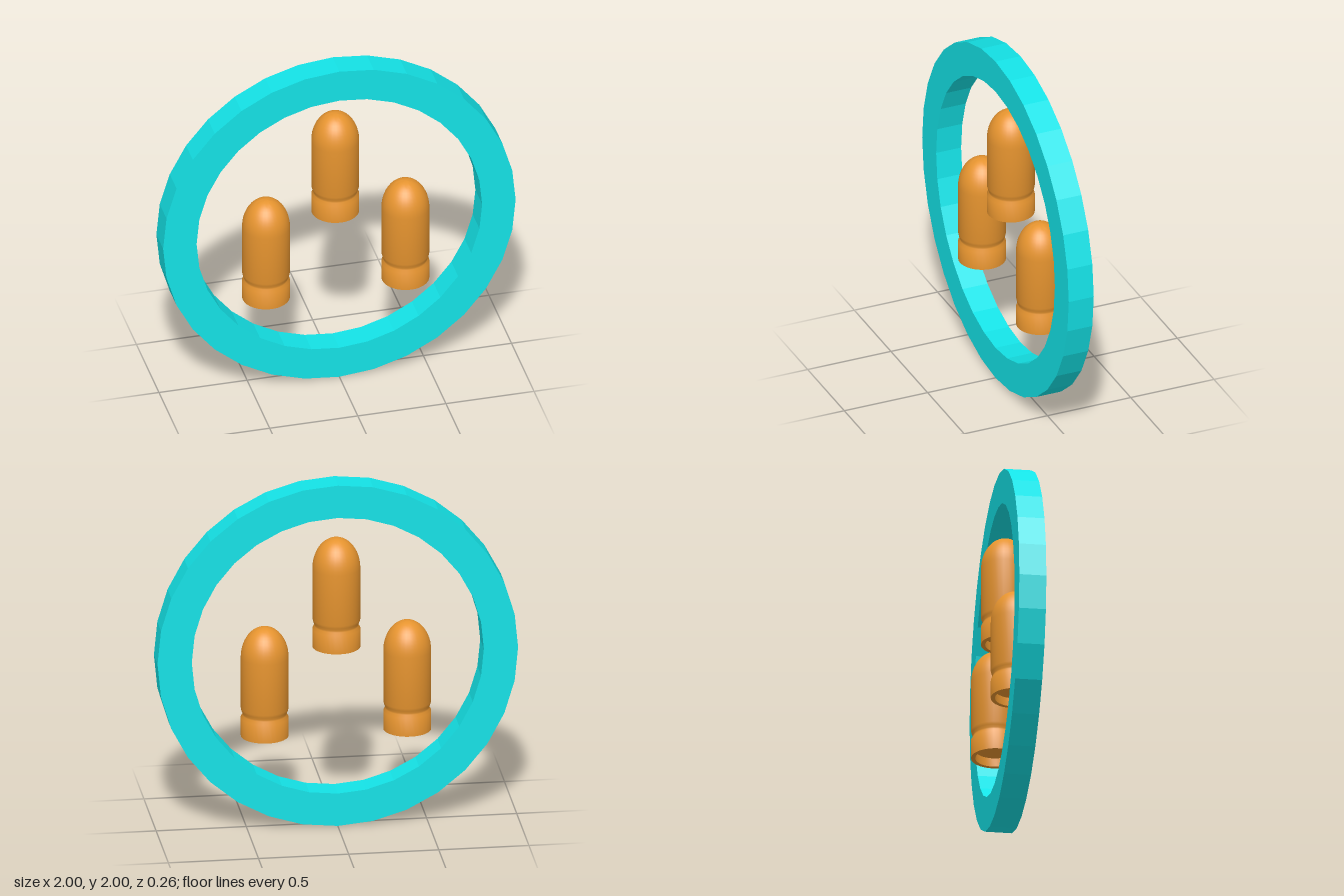
import * as THREE from 'three';
import { toCreasedNormals } from 'three/addons/utils/BufferGeometryUtils.js';

const SIDES = 32;

// Regular counter-clockwise polygon with a corner at the top
function polygon(target, radius) {
  const points = [];
  for (let i = 0; i < SIDES; i++) {
    const a = (i / SIDES) * Math.PI * 2;
    points.push(new THREE.Vector2(-Math.sin(a) * radius, Math.cos(a) * radius));
  }
  return target.setFromPoints(points).closePath();
}

// Flat-sided ring, standing upright
function createRing() {
  const shape = polygon(new THREE.Shape(), 1);
  shape.holes.push(polygon(new THREE.Path(), 0.81));
  const geometry = new THREE.ExtrudeGeometry(shape, { depth: 0.15, bevelEnabled: false });
  const ring = new THREE.Mesh(geometry, new THREE.MeshStandardMaterial({ color: 0x14e2e6 }));
  ring.position.set(0, 1, -0.058);
  ring.name = 'ring';
  return ring;
}

// Turned profile: recessed base, grooved collar, straight body, domed tip
function createCapsuleGeometry() {
  const r = 0.132, domeBase = 0.46, height = 0.636;
  const profile = [
    [0, 0.05], [0.109, 0.05], [0.109, 0], [r, 0], [r, 0.108],
    [0.122, 0.124], [0.122, 0.134], [0.128, 0.148], [r, 0.164],
  ].map(([x, y]) => new THREE.Vector2(x, y));
  const steps = 12;
  for (let i = 0; i <= steps; i++) {
    const a = (i / steps) * Math.PI / 2;
    const x = i === steps ? 0 : r * Math.cos(a);
    profile.push(new THREE.Vector2(x, domeBase + (height - domeBase) * Math.sin(a)));
  }
  return toCreasedNormals(new THREE.LatheGeometry(profile, 32), 0.7);
}

export function createModel() {
  const model = new THREE.Group();
  model.name = 'ringWithCapsules';
  model.add(createRing());

  // Three identical domed capsules in a triangle
  const geometry = createCapsuleGeometry();
  const material = new THREE.MeshStandardMaterial({ color: 0xe6942f });
  for (const [name, x, y] of [
    ['topCapsule', 0, 1.036],
    ['leftCapsule', 0.398, 0.532],
    ['rightCapsule', -0.393, 0.532],
  ]) {
    const capsule = new THREE.Mesh(geometry, material);
    capsule.position.set(x, y, 0);
    capsule.name = name;
    model.add(capsule);
  }
  return model;
}
